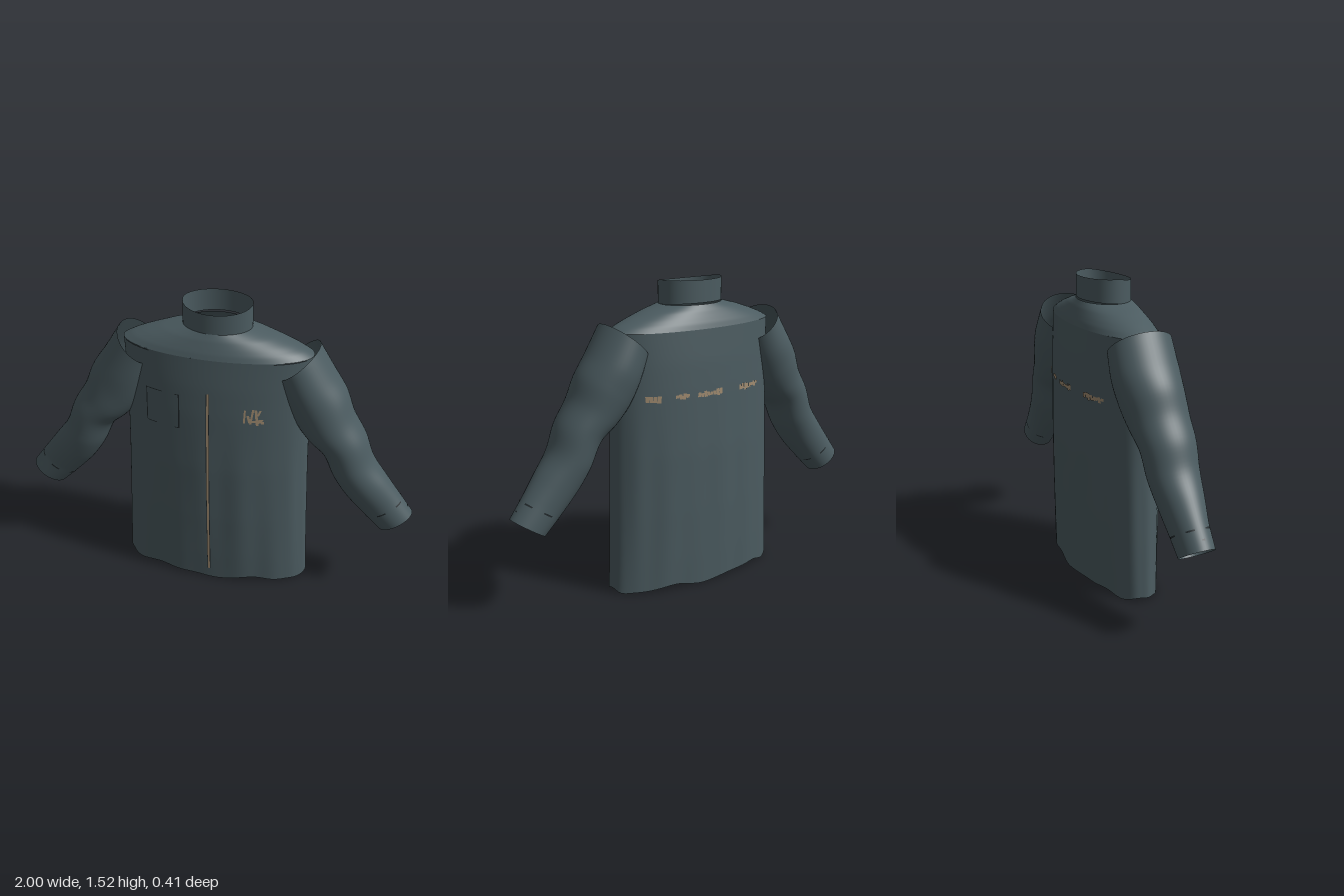
import * as THREE from 'three';

const cloth = new THREE.MeshStandardMaterial({ color: 0x4b5b60, side: THREE.DoubleSide });
cloth.name = 'slate cloth';
const tan = new THREE.MeshStandardMaterial({ color: 0xa08b70, side: THREE.DoubleSide });
tan.name = 'tan trim';
const dark = new THREE.MeshStandardMaterial({ color: 0x22292c, side: THREE.DoubleSide });
dark.name = 'dark stitching';

// Grid surface from a rule f(u, v) with u, v in 0..1; wrap joins the v ends
function sheet(name, material, rows, cols, wrap, f) {
  const pos = [], index = [];
  const n = wrap ? cols : cols + 1;
  for (let i = 0; i <= rows; i++) {
    for (let j = 0; j < n; j++) pos.push(...f(i / rows, j / cols));
  }
  for (let i = 0; i < rows; i++) {
    for (let j = 0; j < cols; j++) {
      const a = i * n + j, b = i * n + ((j + 1) % n);
      index.push(a, a + n, b, b, a + n, b + n);
    }
  }
  const geo = new THREE.BufferGeometry();
  geo.setAttribute('position', new THREE.Float32BufferAttribute(pos, 3));
  geo.setIndex(index);
  geo.computeVertexNormals();
  const mesh = new THREE.Mesh(geo, material);
  mesh.name = name;
  return mesh;
}

// Linear look-up in a short list of [key, ...values]
function lookup(table, k) {
  let i = 0;
  while (i < table.length - 2 && k > table[i + 1][0]) i++;
  const p = table[i], q = table[i + 1];
  const t = THREE.MathUtils.clamp((k - p[0]) / (q[0] - p[0]), 0, 1);
  return p.slice(1).map((v, m) => v + (q[m + 1] - v) * t);
}

// Height, half width, half depth
const BODY = [[0, 0.482, 0.178], [0.15, 0.476, 0.185], [0.4, 0.468, 0.194], [0.7, 0.46, 0.2],
  [1.0, 0.456, 0.196], [1.15, 0.458, 0.19], [1.3, 0.466, 0.178]];
const YOKE = [[1.3, 0.466, 0.178], [1.325, 0.42, 0.169], [1.35, 0.358, 0.157],
  [1.38, 0.272, 0.142], [1.408, 0.168, 0.124]];

// Soft vertical folds that fade out towards the chest
function fold(angle, y) {
  const fade = THREE.MathUtils.smoothstep(1.15 - y, 0, 0.7);
  return 1 + fade * (0.012 * Math.sin(11 * angle + 2 * y) + 0.008 * Math.sin(17 * angle - y));
}

function bodyPoint(angle, y, lift = 0) {
  const [w, d] = lookup(BODY, y);
  const k = fold(angle, y);
  return [w * Math.cos(angle) * (1 + (k - 1) * 0.3), y, (d * k + lift) * Math.sin(angle)];
}

// Thin patch lying on the torso; side is 1 for the front and -1 for the back
function patch(name, material, x0, x1, y0, y1, side, slant = 0) {
  const rows = Math.max(1, Math.ceil((y1 - y0) / 0.03));
  const cols = Math.max(1, Math.ceil((x1 - x0) / 0.03));
  return sheet(name, material, rows, cols, false, (u, v) => {
    const y = y0 + (y1 - y0) * u;
    const x = x0 + (x1 - x0) * v + slant * (u - 0.5);
    const angle = side * Math.acos(x / lookup(BODY, y)[0]);
    const p = bodyPoint(angle, y, 0.005);
    return [x, y, p[2]];
  });
}

// Sleeve: outer edge, inner edge, and [centre z, half depth] along its length
const curve = (pts) => new THREE.CatmullRomCurve3(pts.map(([a, b]) => new THREE.Vector3(a, b, 0)));
const OUTER = curve([[0.49, 1.345], [0.57, 1.215], [0.633, 1.12], [0.677, 1.01], [0.742, 0.9],
  [0.788, 0.78], [0.86, 0.68], [0.93, 0.585], [1.0, 0.49]]);
const INNER = curve([[0.296, 1.175], [0.335, 1.07], [0.395, 0.945], [0.46, 0.865], [0.535, 0.8],
  [0.595, 0.675], [0.66, 0.575], [0.755, 0.47], [0.84, 0.385]]);
const DEPTH = curve([[-0.005, 0.158], [-0.006, 0.163], [0, 0.155], [0.01, 0.145], [0.016, 0.134],
  [0.018, 0.124], [0.018, 0.108], [0.014, 0.09], [0.013, 0.082]]);

function sleevePoint(side, t, angle, lift = 0) {
  const o = OUTER.getPoint(t), i = INNER.getPoint(t), d = DEPTH.getPoint(t);
  const c = Math.cos(angle) * (1 + lift * 10) / 2;
  return [
    side * ((o.x + i.x) / 2 + (o.x - i.x) * c),
    (o.y + i.y) / 2 + (o.y - i.y) * c,
    d.x + (d.y + lift) * Math.sin(angle),
  ];
}

function makeSleeve(side) {
  const g = new THREE.Group();
  g.name = side > 0 ? 'leftSleeve' : 'rightSleeve';
  g.add(sheet('sleeve', cloth, 48, 48, true, (u, v) => sleevePoint(side, u, v * Math.PI * 2)));
  // Broken row of stitches above the cuff
  for (let k = 0; k < 6; k++) {
    g.add(sheet('cuffStitch', dark, 1, 4, false, (u, v) =>
      sleevePoint(side, 0.893 + 0.008 * u, k * Math.PI / 3 + 0.3 + 0.45 * v, 0.002)));
  }
  // Cuff button mark
  g.add(sheet('cuffMark', dark, 1, 2, false, (u, v) =>
    sleevePoint(side, 0.945 + 0.008 * u, -0.08 + 0.16 * v, 0.002)));
  return g;
}

export function createModel() {
  const model = new THREE.Group();
  model.name = 'workJacket';
  const TAU = Math.PI * 2;

  // Torso with a wavy hem
  model.add(sheet('torso', cloth, 40, 128, true, (u, v) => {
    const a = v * TAU;
    const hem = 0.013 + 0.009 * Math.cos(6 * a) + 0.004 * Math.cos(a * 11);
    const p = bodyPoint(a, u * 1.3);
    p[1] = Math.max(0, p[1] + hem * (1 - u) ** 8);
    return p;
  }));

  // Shoulder yoke
  model.add(sheet('yoke', cloth, 16, 96, true, (u, v) => {
    const y = 1.3 + 0.108 * u;
    const [w, d] = lookup(YOKE, y);
    return [w * Math.cos(v * TAU), y, d * Math.sin(v * TAU)];
  }));

  // Stand collar, dipping at the front
  model.add(sheet('collar', cloth, 4, 64, true, (u, v) => {
    const s = Math.sin(v * TAU);
    const bottom = 1.408 - 0.008 * s;
    const top = 1.525 - 0.02 * Math.max(0, s);
    return [0.168 * Math.cos(v * TAU), bottom + (top - bottom) * u, 0.124 * s];
  }));

  for (const side of [1, -1]) {
    model.add(makeSleeve(side));
    // Yoke seam ends
    model.add(patch('yokeSeam', dark, side > 0 ? 0.3 : -0.44, side > 0 ? 0.44 : -0.3, 1.294, 1.299, 1));
  }

  // Zip: tan tape with a dark edge
  model.add(patch('zipTape', tan, -0.006, 0.004, 0.065, 1.13, 1));
  model.add(patch('zipEdge', dark, 0.004, 0.008, 0.065, 1.13, 1));
  model.add(patch('zipEdge', dark, -0.009, -0.006, 0.065, 1.13, 1));

  // Chest pocket stitching: [x0, x1, y0, y1]
  for (const r of [[-0.32, -0.315, 0.92, 1.1], [-0.149, -0.142, 0.92, 1.1],
    [-0.32, -0.235, 1.098, 1.102], [-0.168, -0.142, 1.098, 1.102],
    [-0.315, -0.265, 0.917, 0.921], [-0.17, -0.145, 0.917, 0.921]]) {
    model.add(patch('pocketStitch', dark, ...r, 1));
  }

  // Worn chest flecks: [x, y, width, height, slant]
  for (const [x, y, w, h, s] of [[0.176, 1.025, 0.009, 0.07, 0.004], [0.196, 1.012, 0.012, 0.04, -0.01],
    [0.21, 1.025, 0.01, 0.08, 0.012], [0.232, 1.02, 0.012, 0.085, -0.008], [0.222, 1.0, 0.03, 0.01, 0],
    [0.248, 1.0, 0.022, 0.02, 0.01], [0.244, 1.045, 0.01, 0.03, 0.012], [0.26, 0.993, 0.012, 0.014, 0]]) {
    model.add(patch('chestFleck', tan, x - w / 2, x + w / 2, y - h / 2, y + h / 2, 1, s));
  }

  // Worn back flecks in four clusters: [x0, x1]
  let seed = 7;
  const rand = () => (seed = (seed * 16807) % 2147483647) / 2147483647;
  for (const [x0, x1] of [[0.28, 0.34], [0.14, 0.21], [-0.05, 0.08], [-0.31, -0.18]]) {
    for (let x = x0; x < x1; x += 0.018) {
      const y = 0.99 + 0.008 * (rand() - 0.5), h = 0.006 + 0.012 * rand();
      model.add(patch('backFleck', tan, x, x + 0.017, y - h, y + h, -1, 0.016 * (rand() - 0.5)));
    }
  }
  return model;
}
